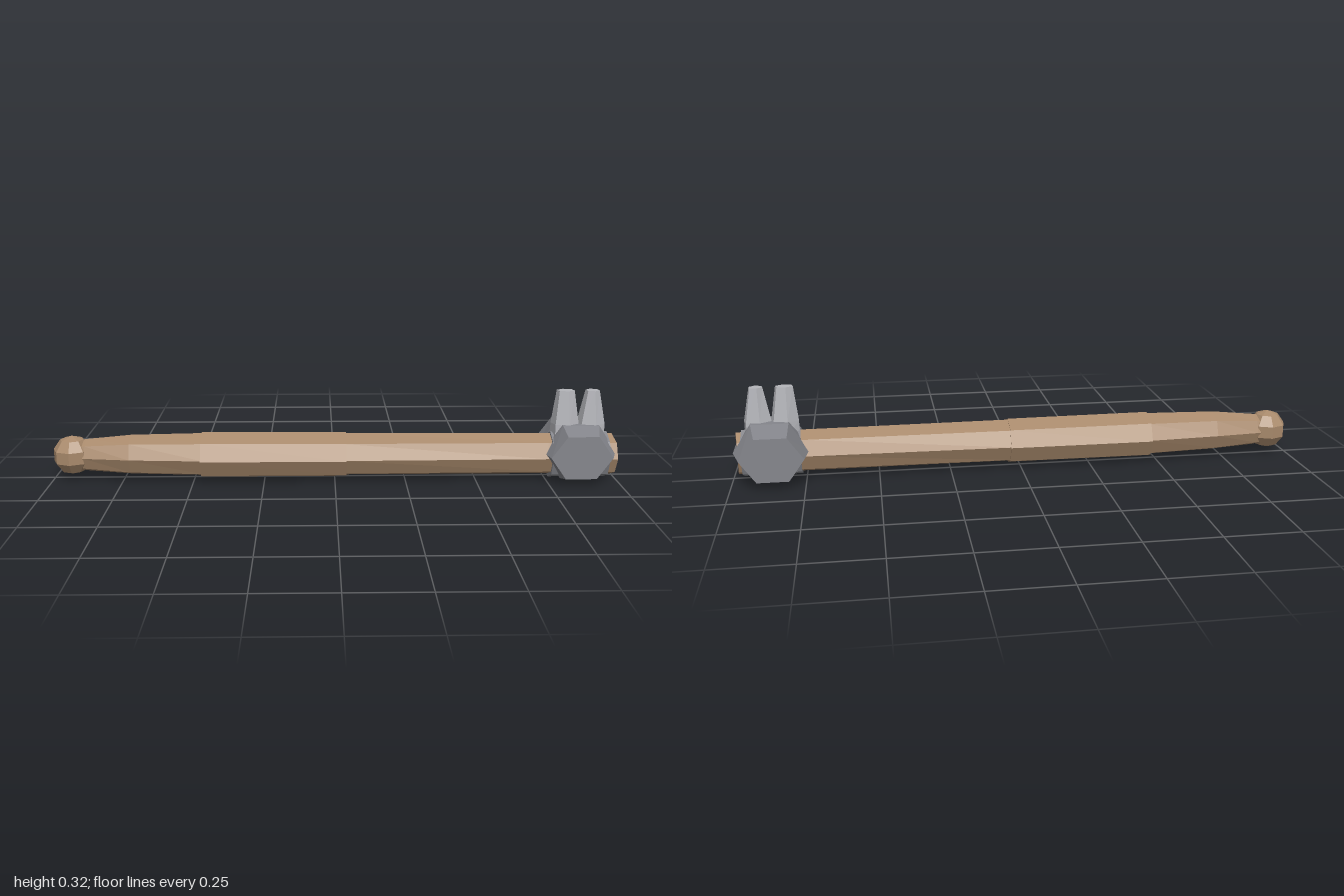
import * as THREE from 'three';

const material = (color) => new THREE.MeshStandardMaterial({ color, flatShading: true });

// Closed loft along an axis. Each ring is { c: centre, r: [ru, rv], tilt },
// where u and v are the next two axes in cyclic order.
function loft(axis, sides, rings, phase = 0) {
  const u = (axis + 1) % 3, v = (axis + 2) % 3;
  const loops = rings.map(({ c, r, tilt = 0 }) =>
    Array.from({ length: sides }, (_, i) => {
      const t = phase + (i / sides) * Math.PI * 2;
      const p = [...c];
      p[u] += r[0] * Math.cos(t);
      p[v] += r[1] * Math.sin(t);
      p[axis] += tilt * Math.sin(t);
      return p;
    }));
  const pos = [];
  const tri = (a, b, c) => pos.push(...a, ...b, ...c);
  const last = loops.length - 1;
  for (let i = 0; i < sides; i++) {
    const j = (i + 1) % sides;
    for (let k = 0; k < last; k++) {
      const a = loops[k], b = loops[k + 1];
      tri(a[i], a[j], b[j]);
      tri(a[i], b[j], b[i]);
    }
    tri(rings[0].c, loops[0][j], loops[0][i]);
    tri(rings[last].c, loops[last][i], loops[last][j]);
  }
  const g = new THREE.BufferGeometry();
  g.setAttribute('position', new THREE.Float32BufferAttribute(pos, 3));
  g.computeVertexNormals();
  return g;
}

export function createModel() {
  const model = new THREE.Group();
  const wood = material(0xa98a6c);
  const iron = material(0x85868c);
  const steel = material(0xb4b5ba);

  const add = (name, geometry, mat) => {
    const mesh = new THREE.Mesh(geometry, mat);
    mesh.name = name;
    model.add(mesh);
    return mesh;
  };
  const ringX = (x, y, z, ry, rz, tilt) => ({ c: [x, y, z], r: [ry, rz], tilt });

  // Wooden handle in three octagonal lengths
  add('handleTaper', loft(0, 8, [
    ringX(-0.92, 0.089, 0.008, 0.05, 0.045),
    ringX(-0.88, 0.089, 0.009, 0.058, 0.052),
    ringX(-0.72, 0.091, 0.013, 0.072, 0.076),
    ringX(-0.46, 0.09, 0.013, 0.078, 0.089),
  ]), wood);
  add('handleGrip', loft(0, 8, [
    ringX(-0.47, 0.089, 0.014, 0.083, 0.096),
    ringX(0.04, 0.088, 0.016, 0.081, 0.093),
  ]), wood);
  add('handleShaft', loft(0, 8, [
    ringX(0.03, 0.089, 0.015, 0.077, 0.088),
    ringX(0.75, 0.088, 0.017, 0.075, 0.074),
    ringX(0.985, 0.086, 0.02, 0.076, 0.07, 0.01),
  ]), wood);

  // Rounded pommel
  const pommel = add('pommel', new THREE.SphereGeometry(0.07, 8, 5), wood);
  pommel.position.set(-0.93, 0.09, 0.01);

  // Collar wrapping the shaft inside the head
  add('collar', loft(0, 8, [
    ringX(0.765, 0.086, 0.021, 0.084, 0.078),
    ringX(0.966, 0.086, 0.021, 0.084, 0.078),
  ]), iron);

  // Hexagonal hammer head, narrowing towards both faces
  const ringZ = (x, z, rx, ry) => ({ c: [x, 0.104, z], r: [rx, ry] });
  add('hammerHead', loft(2, 6, [
    ringZ(0.857, -0.135, 0.108, 0.088),
    ringZ(0.865, -0.032, 0.128, 0.112),
    ringZ(0.865, 0.057, 0.128, 0.112),
    ringZ(0.857, 0.135, 0.108, 0.088),
  ]), iron);

  // Blunt spikes on top of the head
  for (const [x, rx, tipX, tipR] of [[0.815, 0.05, 0.812, 0.032], [0.907, 0.05, 0.907, 0.025]]) {
    add('spike', loft(1, 6, [
      { c: [x, 0.155, 0.02], r: [0.042, rx] },
      { c: [x, 0.2, 0.02], r: [0.038, rx] },
      { c: [tipX, 0.32, 0.02], r: [0.021, tipR] },
    ], 0.2), steel);
  }

  return model;
}
